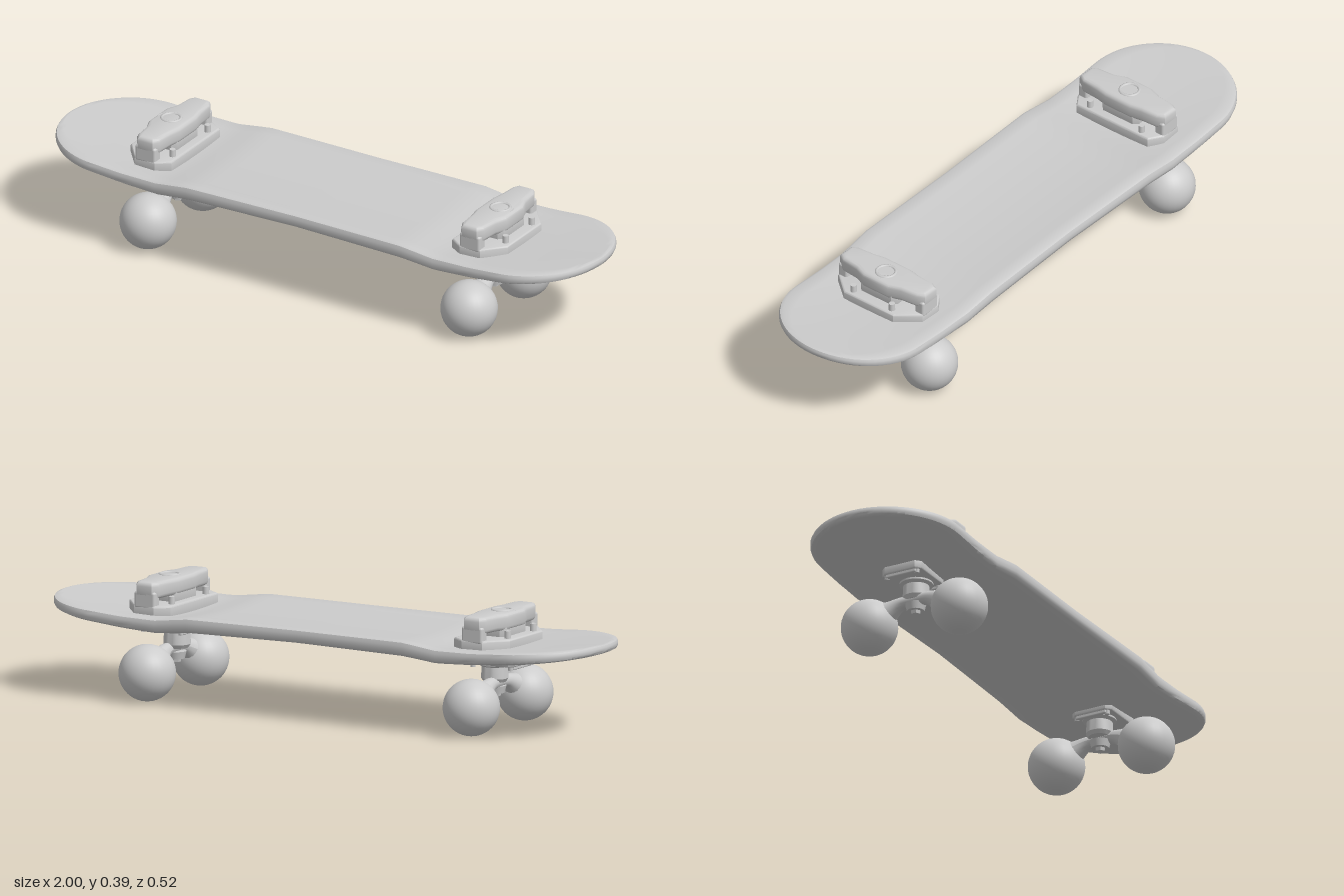
import * as THREE from 'three';
import { toCreasedNormals } from 'three/addons/utils/BufferGeometryUtils.js';
import { RoundedBoxGeometry } from 'three/addons/geometries/RoundedBoxGeometry.js';

const material = new THREE.MeshStandardMaterial({ color: 0xcccccc });

function add(parent, name, geometry, x = 0, y = 0, z = 0) {
  const mesh = new THREE.Mesh(geometry, material);
  mesh.name = name;
  mesh.position.set(x, y, z);
  parent.add(mesh);
  return mesh;
}

// Linear interpolation through [position, value] pairs
function sample(pairs, x) {
  const i = Math.max(1, pairs.findIndex((p) => p[0] >= x));
  const [a, b] = [pairs[i - 1], pairs[i]];
  return a[1] + ((b[1] - a[1]) * (x - a[0])) / (b[0] - a[0]);
}

// Horizontal slab from a plan mirrored in z, with bevelled edges and an optional round hole
function slab(halfPlan, y0, y1, bevel, hole) {
  const all = [...halfPlan, ...halfPlan.map(([x, z]) => [x, -z]).reverse()];
  const shape = new THREE.Shape(all.map(([x, z]) => new THREE.Vector2(x, z)));
  if (hole) {
    const path = new THREE.Path();
    path.absarc(hole[0], 0, hole[1], 0, Math.PI * 2, true);
    shape.holes.push(path);
  }
  const geometry = new THREE.ExtrudeGeometry(shape, {
    depth: y1 - y0 - 2 * bevel, bevelSize: bevel, bevelThickness: bevel,
    bevelOffset: -bevel, bevelSegments: 3, curveSegments: 10,
  });
  geometry.rotateX(-Math.PI / 2).translate(0, y0 + bevel, 0);
  return toCreasedNormals(geometry, 0.6);
}

// Deck: rounded ends, rising nose and tail, slightly dished across the width
function deckGeometry() {
  const top = [[0, 0.288], [0.4, 0.287], [0.52, 0.272], [0.65, 0.275], [0.8, 0.288], [1, 0.308]];
  const bottom = [[0, 0.243], [0.4, 0.238], [0.52, 0.226], [0.65, 0.234], [0.8, 0.25], [1, 0.278]];
  const width = [[0, 0.254], [0.4, 0.26], [0.55, 0.256], [0.76, 0.255], [1, 0.255]];

  // Section: [position across, inset from the outline, height from bottom to top]
  const section = [];
  const rows = 12;
  for (let j = 0; j <= rows; j++) section.push([-1 + (2 * j) / rows, 0.012, 1]);
  section.push([1, 0.003, 0.88], [1, 0, 0.65], [1, 0, 0.35], [1, 0.003, 0.12]);
  for (let j = 0; j <= rows; j++) section.push([1 - (2 * j) / rows, 0.012, 0]);
  section.push([-1, 0.003, 0.12], [-1, 0, 0.35], [-1, 0, 0.65], [-1, 0.003, 0.88]);

  const stations = [];
  for (let i = 0; i <= 16; i++) stations.push(-0.76 - 0.24 * Math.cos((i / 16) * Math.PI / 2));
  for (let i = 1; i < 38; i++) stations.push(-0.76 + i * 0.04);
  for (let i = 0; i <= 16; i++) stations.push(0.76 + 0.24 * Math.sin((i / 16) * Math.PI / 2));

  const positions = [], index = [], n = section.length;
  stations.forEach((u, i) => {
    const end = Math.max(0, (Math.abs(u) - 0.76) / 0.24);
    const w = sample(width, Math.abs(u)) * Math.sqrt(Math.max(0, 1 - end * end));
    section.forEach(([v, inset, h], j) => {
      const x = u * (1 - inset), z = v * w * (1 - inset / 0.26), ax = Math.abs(x);
      const dish = 0.015 * (z / 0.26) ** 2 * (1 - ax ** 4);
      positions.push(x, THREE.MathUtils.lerp(sample(bottom, ax), sample(top, ax), h) + dish, z);
      if (i === stations.length - 1) return;
      const a = i * n + j, b = i * n + ((j + 1) % n);
      index.push(a, b, a + n, b, b + n, a + n);
    });
  });
  const geometry = new THREE.BufferGeometry();
  geometry.setAttribute('position', new THREE.Float32BufferAttribute(positions, 3));
  geometry.setIndex(index);
  return toCreasedNormals(geometry, 0.7);
}

// Arched axle arm that flares where it meets the wheels
function axleGeometry() {
  const curve = new THREE.CatmullRomCurve3([
    [-0.15, 0.105], [-0.1, 0.126], [-0.05, 0.146], [0, 0.149], [0.05, 0.146], [0.1, 0.126], [0.15, 0.105],
  ].map(([z, y]) => new THREE.Vector3(0, y, z)));
  const segments = 32, sides = 16;
  const geometry = new THREE.TubeGeometry(curve, segments, 1, sides);
  const position = geometry.attributes.position, p = new THREE.Vector3();
  for (let i = 0; i < position.count; i++) {
    const c = curve.getPointAt(Math.floor(i / (sides + 1)) / segments);
    const r = 0.019 + 0.032 * Math.min(1, Math.abs(c.z) / 0.12) ** 2.5;
    p.fromBufferAttribute(position, i).sub(c).multiplyScalar(r).add(c);
    position.setXYZ(i, p.x, p.y, p.z);
  }
  geometry.computeVertexNormals();
  return geometry;
}

// Upper and lower fittings with a pair of wheels; +x points to the middle of the board
function createTruck() {
  const truck = new THREE.Group();

  // Top fitting: plate, feet, bridge body with a recessed pin
  add(truck, 'topPlate', slab([[0.075, 0.145], [0.03, 0.175], [-0.045, 0.172], [-0.105, 0.1]], 0.26, 0.309, 0.006));
  add(truck, 'topBody', slab([
    [0.048, 0.05], [0.04, 0.09], [0.036, 0.15], [0.022, 0.174],
    [-0.034, 0.174], [-0.048, 0.15], [-0.054, 0.09], [-0.07, 0.05],
  ], 0.328, 0.383, 0.014, [-0.015, 0.03]));
  add(truck, 'topCore', slab([[0.045, 0.06], [0.03, 0.075], [-0.05, 0.075], [-0.066, 0.06]], 0.3, 0.352, 0.004));
  const ring = add(truck, 'pinRing', new THREE.TorusGeometry(0.031, 0.006, 8, 28), -0.015, 0.381, 0);
  ring.rotation.x = Math.PI / 2;
  add(truck, 'topPin', toCreasedNormals(new THREE.CylinderGeometry(0.014, 0.016, 0.04, 6), 0.5), -0.015, 0.358, 0);

  // Lower fitting: base plate, raised rim, post and pin nut
  add(truck, 'basePlate', slab([[0.075, 0.055], [0.06, 0.072], [-0.08, 0.072], [-0.095, 0.055]], 0.212, 0.245, 0.005));
  for (const x of [-0.085, 0.065]) add(truck, 'baseRim', new RoundedBoxGeometry(0.014, 0.02, 0.11, 2, 0.004), x, 0.212, 0);
  add(truck, 'post', toCreasedNormals(new THREE.LatheGeometry([
    [0, 0.15], [0.036, 0.15], [0.044, 0.162], [0.042, 0.2], [0.054, 0.206], [0.054, 0.222], [0, 0.222],
  ].map(([r, y]) => new THREE.Vector2(r, y)), 28), 0.6), 0.012, 0, 0);
  add(truck, 'pinCollar', new THREE.CylinderGeometry(0.034, 0.028, 0.024, 24), 0.008, 0.126, 0);
  add(truck, 'pinNut', toCreasedNormals(new THREE.CylinderGeometry(0.02, 0.015, 0.026, 6), 0.5), 0.008, 0.116, 0);

  add(truck, 'axle', axleGeometry());

  for (const side of [-1, 1]) {
    add(truck, 'topFoot', new RoundedBoxGeometry(0.076, 0.055, 0.036, 3, 0.008), -0.006, 0.325, side * 0.156);
    add(truck, 'wheel', new THREE.SphereGeometry(0.0915, 32, 24), 0, 0.0915, side * 0.164);
    for (const [x, z] of [[0.055, 0.105], [-0.083, 0.078]]) {
      add(truck, 'topBolt', new THREE.CylinderGeometry(0.01, 0.011, 0.03, 12), x, 0.318, side * z);
    }
    for (const x of [-0.08, 0.06]) {
      add(truck, 'baseBolt', new THREE.CylinderGeometry(0.009, 0.008, 0.02, 10), x, 0.21, side * 0.055);
    }
  }
  return truck;
}

export function createModel() {
  const model = new THREE.Group();
  model.name = 'skateboard';
  add(model, 'deck', deckGeometry());
  for (const side of [-1, 1]) {
    const truck = createTruck();
    truck.name = side > 0 ? 'leftTruck' : 'rightTruck';
    truck.position.x = side * 0.6;
    truck.rotation.y = side > 0 ? Math.PI : 0;
    model.add(truck);
  }
  return model;
}
